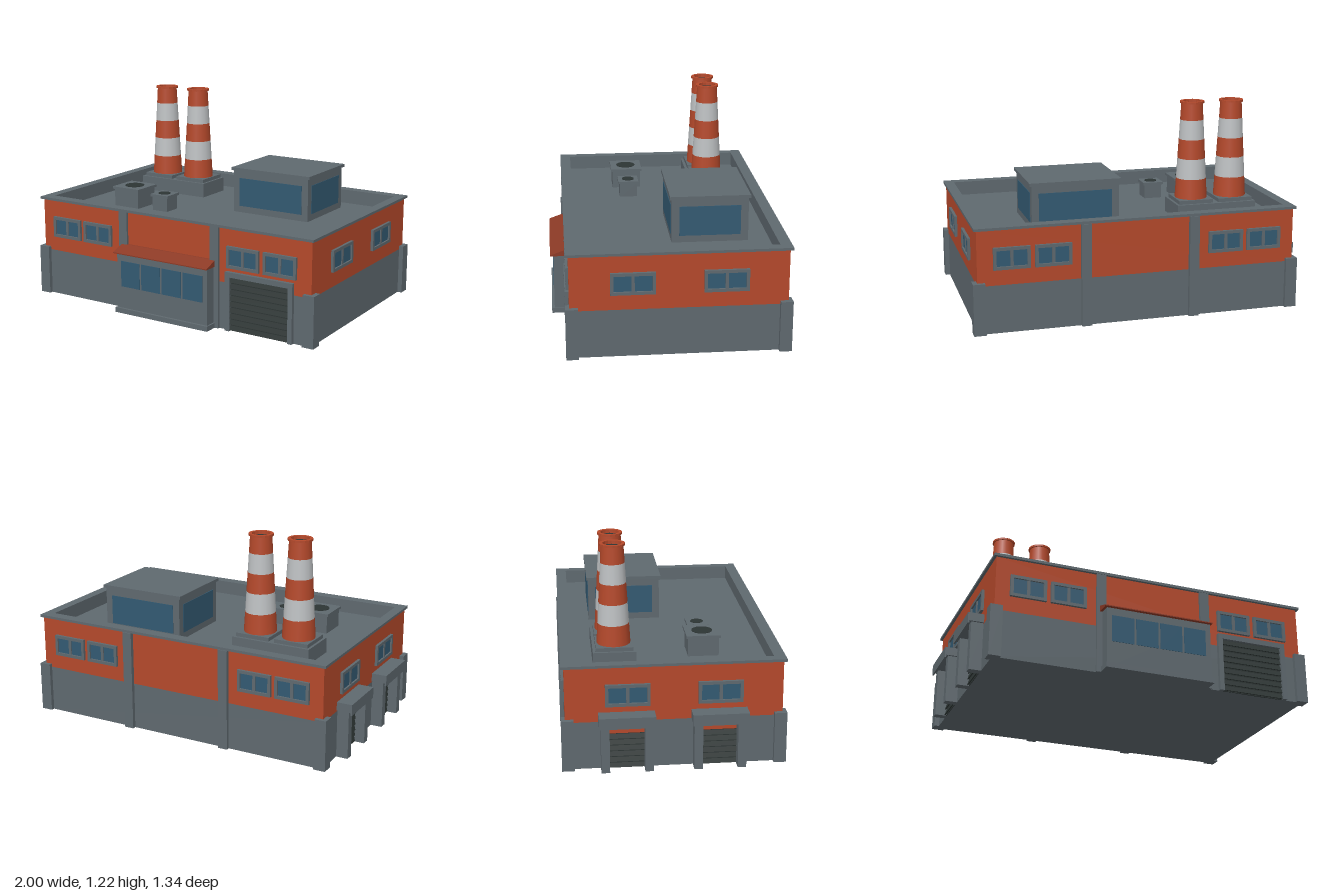
import * as THREE from 'three';

const paint = (name, color) => Object.assign(new THREE.MeshStandardMaterial({ color }), { name });

export function createModel() {
  const concrete = paint('concrete grey', 0x5f696f);
  const brick = paint('brick orange', 0xb5492b);
  const canopyRed = paint('canopy red', 0x8c3a26);
  const glass = paint('window blue', 0x335a72);
  const dark = paint('shutter dark', 0x2d3534);
  const white = paint('chimney white', 0xbfc2c4);

  const model = new THREE.Group();
  const CX = 0.0325, CZ = -0.0375;      // centre of the main hall
  const HX = 0.94, HZ = 0.6075;         // half sizes of the main hall

  const add = (parent, name, geometry, material, x = 0, y = 0, z = 0) => {
    const mesh = new THREE.Mesh(geometry, material);
    mesh.name = name;
    mesh.position.set(x, y, z);
    parent.add(mesh);
    return mesh;
  };
  // Box given by its lower and upper limits on each axis
  const box = (parent, name, material, x0, x1, y0, y1, z0, z1) =>
    add(parent, name, new THREE.BoxGeometry(x1 - x0, y1 - y0, z1 - z0), material,
      (x0 + x1) / 2, (y0 + y1) / 2, (z0 + z1) / 2);
  const group = (name, x = 0, y = 0, z = 0, turn = 0, parent = model) => {
    const g = new THREE.Group();
    g.name = name;
    g.position.set(x, y, z);
    g.rotation.y = turn;
    parent.add(g);
    return g;
  };
  // Rectangular ring around the hall
  const ring = (name, material, ox, oz, ix, iz, y0, y1) => {
    const rect = (P, a, b) => new P([[-a, -b], [a, -b], [a, b], [-a, b]].map(p => new THREE.Vector2(...p)));
    const shape = rect(THREE.Shape, ox, oz);
    shape.holes.push(rect(THREE.Path, ix, iz));
    const g = new THREE.ExtrudeGeometry(shape, { depth: y1 - y0, bevelEnabled: false }).rotateX(-Math.PI / 2);
    return add(model, name, g, material, CX, y0, CZ);
  };

  // Main hall: plinth, brick storey, sunken roof and parapet
  box(model, 'plinth', concrete, CX - HX, CX + HX, 0, 0.28, CZ - HZ, CZ + HZ);
  ring('brickWall', brick, HX, HZ, 0.92, 0.588, 0.28, 0.6);
  ring('parapetLining', concrete, 0.92, 0.588, 0.895, 0.558, 0.5, 0.6);
  ring('cornice', concrete, 0.955, 0.624, 0.895, 0.558, 0.6, 0.615);
  box(model, 'roof', concrete, CX - 0.92, CX + 0.92, 0.5, 0.53, CZ - 0.588, CZ + 0.588);

  // Corner piers and wall pilasters
  for (const sx of [-1, 1]) for (const sz of [-1, 1]) {
    const x = CX + sx * 0.9325, z = CZ + sz * 0.595;
    box(model, 'cornerPier', concrete, x - 0.035, x + 0.035, 0, 0.3, z - 0.035, z + 0.035);
  }
  for (const x of [-0.29, 0.352]) {
    box(model, 'frontPilaster', concrete, x - 0.029, x + 0.029, 0, 0.6, 0.55, 0.584);
    box(model, 'backPilaster', concrete, x - 0.029, x + 0.029, 0, 0.6, -0.668, -0.62);
  }

  // Two-pane window, facing +z before it is turned
  const wallWindow = (w, x, z, turn) => {
    const g = group('window', x, 0.435, z, turn);
    const h = 0.064, a = w / 2, t = 0.018;
    box(g, 'windowFrameTop', concrete, -a, a, h - t, h, -0.01, 0.016);
    box(g, 'windowFrameBottom', concrete, -a, a, -h, -h + t, -0.01, 0.016);
    for (const cx of [-a + t / 2, 0, a - t / 2])
      box(g, 'windowFrameUpright', concrete, cx - t / 2, cx + t / 2, -h + t, h - t, -0.01, cx ? 0.016 : 0.012);
    box(g, 'windowPanes', glass, -a + t, a - t, -h + t, h - t, 0, 0.006);
  };
  for (const x of [-0.72, -0.485, 0.54, 0.777]) {
    wallWindow(0.21, x, CZ + HZ, 0);
    wallWindow(0.21, x, CZ - HZ, Math.PI);
  }
  for (const z of [0.22, -0.297]) {
    wallWindow(0.25, CX + HX, z, Math.PI / 2);
    wallWindow(0.25, CX - HX, z, -Math.PI / 2);
  }

  // Roller shutter with tilted slats, facing +z
  const shutter = (parent, w, h, n) => {
    box(parent, 'shutterPanel', dark, -w / 2, w / 2, 0, h, -0.01, 0.003);
    for (let i = 0; i < n; i++) {
      const slat = add(parent, 'shutterSlat', new THREE.BoxGeometry(w, h / n * 0.8, 0.006), dark,
        0, (i + 0.5) * h / n, 0.007);
      slat.rotation.x = -0.25;
    }
  };

  // Front garage door
  const garage = group('garageDoor', 0.648, 0, CZ + HZ);
  shutter(garage, 0.38, 0.32, 9);
  for (const s of [-1, 1]) box(garage, 'garagePost', concrete, s * 0.203 - 0.014, s * 0.203 + 0.014, 0, 0.35, -0.01, 0.022);
  box(garage, 'garageLintel', concrete, -0.19, 0.19, 0.32, 0.35, -0.01, 0.022);

  // Loading docks on the left side of the picture plane (-x)
  for (const z of [0.2125, -0.305]) {
    const dock = group('loadingDock', CX - HX, 0, z, -Math.PI / 2);
    shutter(dock, 0.2, 0.21, 6);
    box(dock, 'dockTrim', brick, -0.1, 0.1, 0.21, 0.28, -0.01, 0.006);
    for (const s of [-1, 1]) box(dock, 'dockPost', concrete, s * 0.122 - 0.024, s * 0.122 + 0.024, 0, 0.29, -0.01, 0.07);
    box(dock, 'dockHood', concrete, -0.157, 0.157, 0.285, 0.335, -0.01, 0.088);
    box(dock, 'dockHoodLip', concrete, -0.157, 0.157, 0.27, 0.335, 0.084, 0.0925);
  }

  // Entrance bay with four tall windows and a sloping canopy
  const bay = group('entranceBay');
  box(bay, 'bayBody', concrete, -0.285, 0.35, 0, 0.37, 0.56, 0.65);
  box(bay, 'bayStep', concrete, -0.293, 0.358, 0, 0.03, 0.56, 0.666);
  for (let i = 0; i < 4; i++) {
    const x = -0.189 + i * 0.1465;
    box(bay, 'bayWindow', glass, x - 0.067, x + 0.067, 0.163, 0.32, 0.648, 0.653);
  }
  const wedge = new THREE.Shape([[0.56, 0.365], [0.67, 0.365], [0.67, 0.371], [0.58, 0.403], [0.56, 0.403]]
    .map(([z, y]) => new THREE.Vector2(-z, y)));
  const canopy = new THREE.ExtrudeGeometry(wedge, { depth: 0.658, bevelEnabled: false }).rotateY(Math.PI / 2);
  add(bay, 'canopy', canopy, canopyRed, -0.3, 0, 0);

  // Roof office with a window on every side
  const office = group('roofOffice', 0.367, 0, -0.248);
  box(office, 'officeWalls', concrete, -0.257, 0.257, 0.52, 0.79, -0.221, 0.221);
  box(office, 'officeRoof', concrete, -0.27, 0.27, 0.79, 0.808, -0.231, 0.231);
  for (const s of [-1, 1]) {
    const zf = s * 0.221, xf = s * 0.257;
    box(office, 'officeWindow', glass, -0.215, 0.215, 0.57, 0.745, zf - 0.003, zf + 0.003);
    box(office, 'officeWindow', glass, xf - 0.003, xf + 0.003, 0.57, 0.745, -0.177, 0.177);
  }

  // Striped chimneys on a stepped base
  box(model, 'chimneyBase', concrete, -0.735, -0.25, 0.52, 0.62, -0.477, -0.233);
  const SIDES = 16, levels = [0.64, 0.76, 0.88, 0.995, 1.11, 1.208];
  const radius = y => 0.0965 - (y - 0.64) * 0.0588;
  for (const x of [-0.615, -0.37]) {
    const stack = group('chimney', x, 0, -0.355);
    box(stack, 'chimneyFoot', concrete, -0.105, 0.105, 0.62, 0.642, -0.105, 0.105);
    for (let i = 0; i < 5; i++) {
      const [a, b] = [levels[i], levels[i + 1]];
      add(stack, 'chimneyBand', new THREE.CylinderGeometry(radius(b), radius(a), b - a, SIDES, 1, true),
        i % 2 ? white : brick, 0, (a + b) / 2, 0);
    }
    const lip = [[0.06, 1.208], [0.072, 1.208], [0.072, 1.22], [0.053, 1.22], [0.053, 1.19]]
      .map(p => new THREE.Vector2(...p));
    const rim = new THREE.LatheGeometry(lip, SIDES).toNonIndexed();
    rim.computeVertexNormals();
    add(stack, 'chimneyRim', rim, brick);
    add(stack, 'chimneyMouth', new THREE.CircleGeometry(0.055, SIDES).rotateX(-Math.PI / 2), dark, 0, 1.2, 0);
  }

  // Roof vents with round openings
  for (const [x, a, top, r] of [[-0.51, 0.099, 0.655, 0.06], [-0.28, 0.064, 0.632, 0.038]]) {
    const vent = group('roofVent', x, 0, 0.162);
    const b = a - 0.01;
    box(vent, 'ventBody', concrete, -b, b, 0.52, top - 0.015, -b, b);
    box(vent, 'ventCap', concrete, -a, a, top - 0.015, top, -a, a);
    add(vent, 'ventOpening', new THREE.CylinderGeometry(r, r, 0.006, SIDES), dark, 0, top, 0);
  }
  return model;
}
